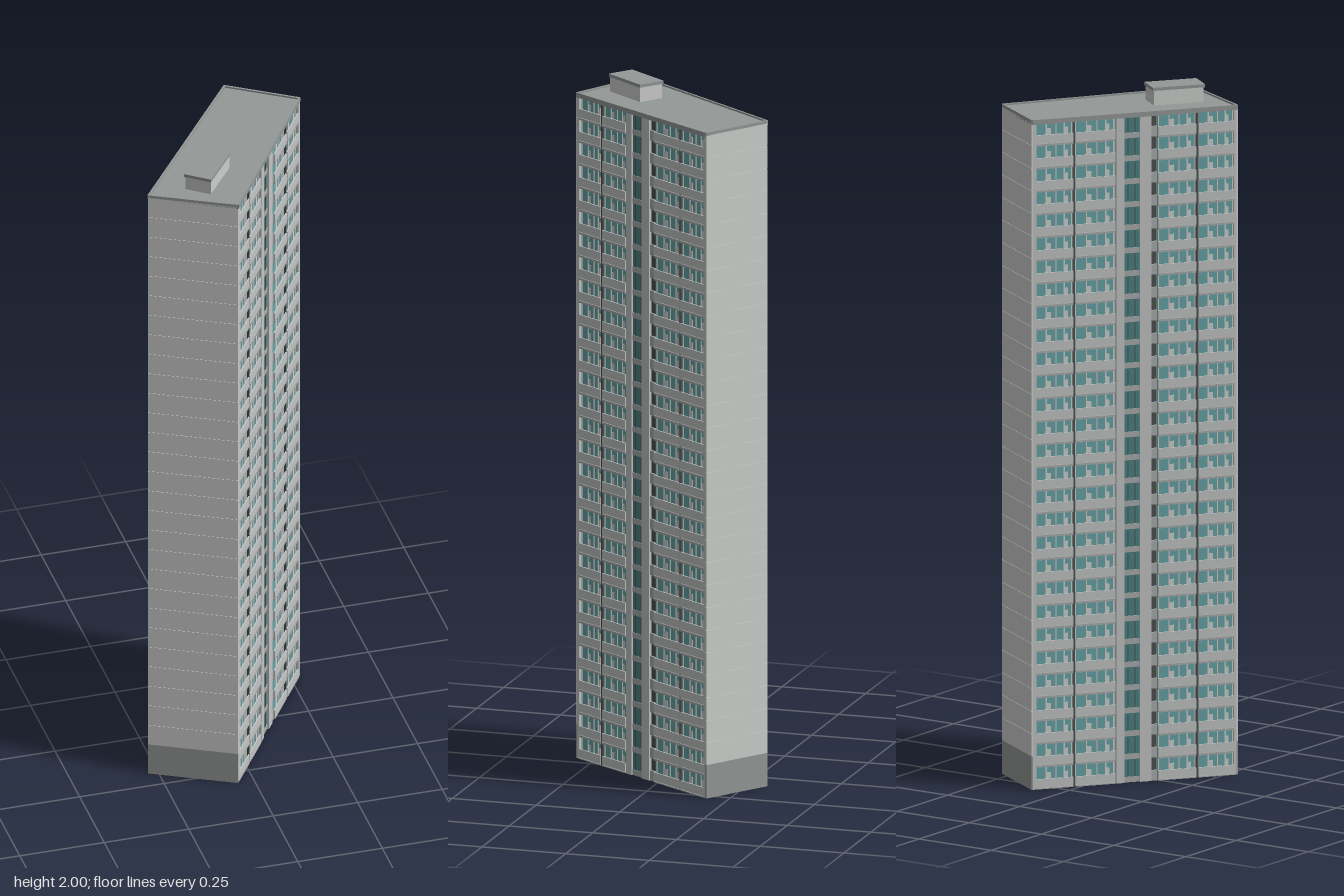
import * as THREE from 'three';
import { mergeGeometries } from 'three/addons/utils/BufferGeometryUtils.js';

const mat = (name, color) => {
  const m = new THREE.MeshStandardMaterial({ color });
  m.name = name;
  return m;
};

const FLOORS = 29, TOP = 1.945, PITCH = TOP / FLOORS, INSET = 0.013;
// Footprint corners as [x, z]
const FRONT = [-0.047, 0.305], RIGHT = [0.278, -0.186], BACK = [0.09, -0.308], LEFT = [-0.278, 0.185];

// Vertical prism over a footprint polygon
function prism(points, y0, y1) {
  const shape = new THREE.Shape(points.map(([x, z]) => new THREE.Vector2(x, -z)));
  const g = new THREE.ExtrudeGeometry(shape, { depth: y1 - y0, bevelEnabled: false });
  return g.rotateX(-Math.PI / 2).translate(0, y0, 0);
}

// Move point p towards q by distance d
function toward(p, q, d) {
  const l = Math.hypot(q[0] - p[0], q[1] - p[1]);
  return [p[0] + (q[0] - p[0]) * d / l, p[1] + (q[1] - p[1]) * d / l];
}

// Box between two corners
function box(x0, x1, y0, y1, z0, z1) {
  return new THREE.BoxGeometry(x1 - x0, y1 - y0, z1 - z0)
    .translate((x0 + x1) / 2, (y0 + y1) / 2, (z0 + z1) / 2);
}

// Group whose local x runs along the wall and local z points outward
function wallFrame(name, p, q) {
  const g = new THREE.Group();
  g.name = name;
  g.position.set(p[0], 0, p[1]);
  g.rotation.y = Math.atan2(-(q[1] - p[1]), q[0] - p[0]);
  g.userData.length = Math.hypot(q[0] - p[0], q[1] - p[1]);
  return g;
}

export function createModel() {
  const model = new THREE.Group();
  model.name = 'towerBlock';
  const M = {
    wall: mat('pale concrete', 0xcdcfcd),
    parapet: mat('balcony concrete', 0xc2c5c4),
    pier: mat('grey concrete', 0xa9acab),
    base: mat('plinth and roof grey', 0x949897),
    glass: mat('teal glass', 0x66a3a6),
    darkGlass: mat('deep teal glass', 0x4a8084),
    joint: mat('dark joint', 0x4c5150),
  };
  const add = (parent, name, geos, material) => {
    const mesh = new THREE.Mesh(Array.isArray(geos) ? mergeGeometries(geos) : geos, material);
    mesh.name = name;
    parent.add(mesh);
  };

  // Solid core, set back behind the two window facades
  const core = [
    toward(FRONT, LEFT, INSET), toward(RIGHT, BACK, INSET),
    toward(BACK, RIGHT, INSET), toward(LEFT, FRONT, INSET),
  ];
  add(model, 'core', prism(core, 0, TOP - 0.002), M.pier);

  // Long facades: balcony bays either side of a stair strip
  function facade(name, p, q, strip0, strip1) {
    const g = wallFrame(name, p, q), L = g.userData.length;
    const parapets = [], slabs = [], panes = [], frames = [], joints = [], piers = [], stair = [], panels = [];
    const s0 = strip0 * L, s1 = strip1 * L, W = s1 - s0;
    const bays = [[0.008, s0 / 2], [s0 / 2, s0], [s1, (s1 + L) / 2], [(s1 + L) / 2, L - 0.008]];
    for (let i = 0; i < FLOORS; i++) {
      const y = i * PITCH, y1 = y + PITCH;
      for (const [a, b] of bays) {
        const x0 = a + 0.003, x1 = b - 0.003, w = x1 - x0;
        parapets.push(box(x0, x1, y + 0.004, y + 0.029, -0.004, 0));
        slabs.push(box(x0, x1, y - (i ? 0.003 : 0), y + 0.003, -INSET, 0.001));
        panes.push(box(x0, x1, y + 0.003, y1 - 0.003, -INSET, -INSET + 0.003));
        // Mullions, and a solid panel beside the balcony door
        for (const f of [0.02, 0.3, 0.56, 0.78, 0.98]) {
          const x = x0 + w * f;
          frames.push(box(x - 0.0018, x + 0.0018, y + 0.003, y1 - 0.003, -INSET, -INSET + 0.005));
        }
        frames.push(box(x0 + w * 0.3, x0 + w * 0.43, y + 0.003, y + 0.046, -INSET, -INSET + 0.004));
        frames.push(box(x0 + w * 0.78, x0 + w * 0.88, y + 0.003, y + 0.046, -INSET, -INSET + 0.004));
      }
      // Stair windows with spandrels between
      stair.push(box(s0 + W * 0.2, s0 + W * 0.58, y + 0.016, y1, -INSET, -0.007));
      panels.push(box(s0 + W * 0.2, s0 + W * 0.58, y, y + 0.016, -INSET, -0.005));
      for (const f of [0.3, 0.47]) {
        const x = s0 + W * f;
        joints.push(box(x - 0.002, x + 0.002, y + 0.016, y1, -INSET, -0.006));
      }
      panels.push(box(s0 + W * 0.86, s1, y, y + 0.03, -INSET, -0.003));
      joints.push(box(s0 + W * 0.86, s1, y + 0.03, y1, -INSET, -0.009));
    }
    // Full-height piers and joints between bays
    piers.push(box(s0, s0 + W * 0.2, 0, TOP, -INSET, 0));
    piers.push(box(s0 + W * 0.58, s0 + W * 0.86, 0, TOP, -INSET, 0));
    for (const x of [s0 / 2, (s1 + L) / 2]) joints.push(box(x - 0.003, x + 0.003, 0, TOP, -INSET, -0.002));
    piers.push(box(0.002, 0.011, 0, TOP, -INSET, 0), box(L - 0.011, L - 0.002, 0, TOP, -INSET, 0));

    add(g, 'balconyParapets', parapets, M.parapet);
    add(g, 'balconySlabs', slabs, M.pier);
    add(g, 'windowPanes', panes, M.glass);
    add(g, 'windowFrames', frames, M.wall);
    add(g, 'piers', piers, M.parapet);
    add(g, 'stairWindows', stair, M.darkGlass);
    add(g, 'spandrels', panels, M.pier);
    add(g, 'joints', joints, M.joint);
    model.add(g);
  }
  facade('rightFacade', FRONT, RIGHT, 0.38, 0.59);
  facade('leftFacade', BACK, LEFT, 0.41, 0.61);

  // Blank end walls: plinth and one concrete panel per storey
  function endWall(name, p, q) {
    const g = wallFrame(name, p, q), L = g.userData.length, panels = [];
    const base = 0.098, n = FLOORS - 1, h = (TOP - base) / n;
    for (let i = 0; i < n; i++) {
      panels.push(box(0, L, base + i * h, base + (i + 1) * h - 0.0008, -0.004, 0.002));
    }
    add(g, 'wallPanels', panels, M.wall);
    add(g, 'plinth', box(0, L, 0, base, -0.004, 0.002), M.base);
    model.add(g);
  }
  endWall('frontEndWall', LEFT, FRONT);
  endWall('backEndWall', RIGHT, BACK);

  // Roof slab with a low edge
  add(model, 'roof', prism([FRONT, RIGHT, BACK, LEFT], TOP - 0.004, TOP + 0.003), M.base);
  const corners = [FRONT, RIGHT, BACK, LEFT];
  corners.forEach((p, i) => {
    const g = wallFrame('roofEdge', p, corners[(i + 1) % 4]);
    add(g, 'roofCurb', box(0, g.userData.length, TOP - 0.006, TOP + 0.008, -0.004, 0.002), M.base);
    model.add(g);
  });

  // Rooftop plant room with an overhanging cap
  const cap = [[-0.105, 0.228], [-0.011, 0.104], [-0.076, 0.055], [-0.17, 0.179]];
  const cx = -0.0905, cz = 0.1415;
  const body = cap.map(([x, z]) => [cx + (x - cx) * 0.95, cz + (z - cz) * 0.95]);
  add(model, 'plantRoom', prism(body, TOP, 1.992), M.wall);
  add(model, 'plantRoomCap', prism(cap, 1.991, 2), M.base);
  return model;
}
